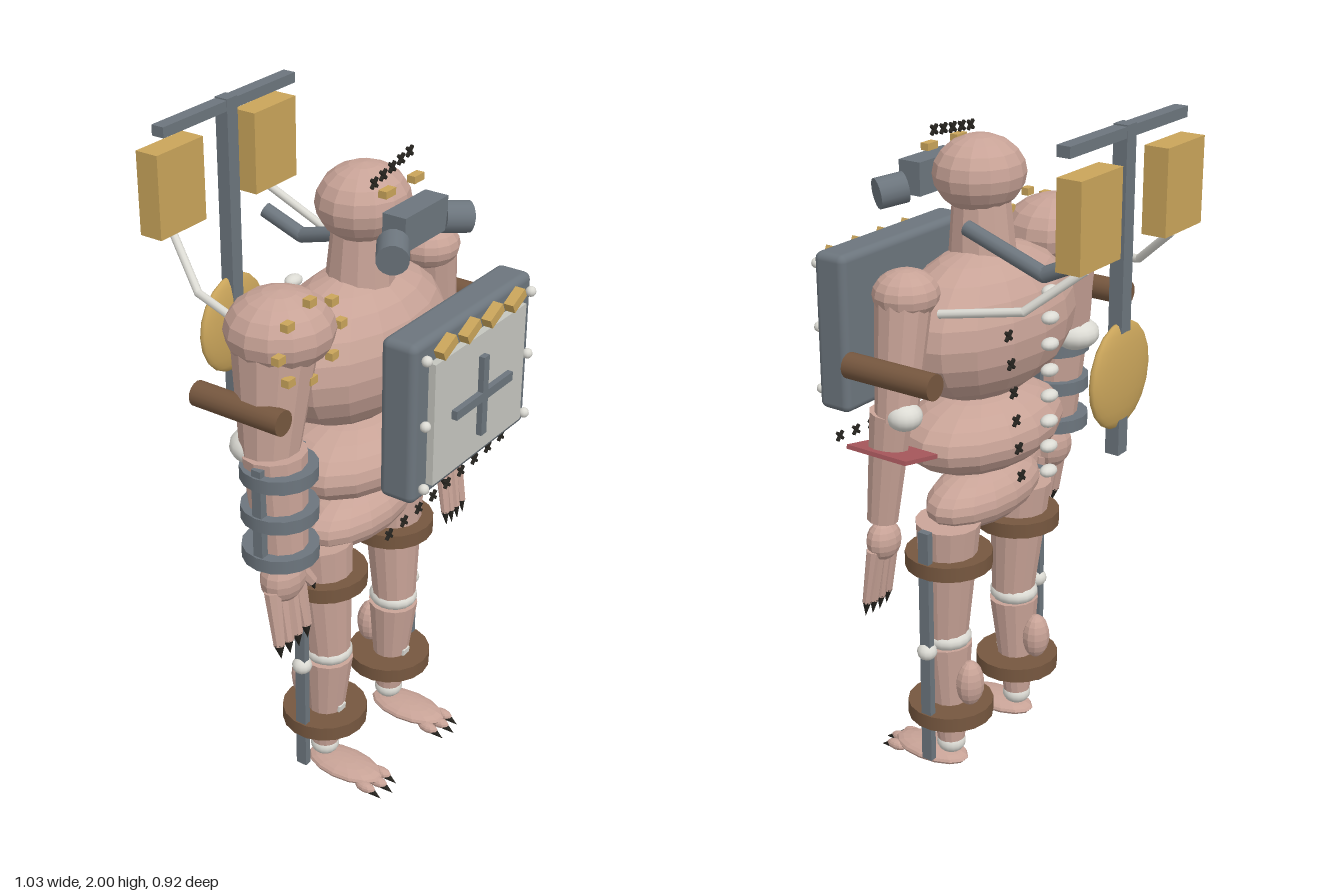
import * as THREE from 'three';
import { RoundedBoxGeometry } from 'three/addons/geometries/RoundedBoxGeometry.js';

const mat = (name, color, flatShading = false) => {
  const m = new THREE.MeshStandardMaterial({ color, flatShading });
  m.name = name;
  return m;
};

export function createModel() {
  const root = new THREE.Group();
  root.name = 'patchedGiant';
  const flesh = mat('flesh', 0xc8a397, true);
  const steel = mat('steel', 0x6c757d);
  const brass = mat('brass', 0xc9a45a);
  const leather = mat('leather', 0x76573f);
  const bone = mat('bone', 0xdcdbd4);
  const plate = mat('plate', 0xc4c5be);
  const dark = mat('dark', 0x26241f);
  const red = mat('red', 0xa8585c);

  // Helpers
  const add = (name, geo, m, p = [0, 0, 0], r = [0, 0, 0]) => {
    const mesh = new THREE.Mesh(geo, m);
    mesh.name = name;
    mesh.position.set(...p);
    mesh.rotation.set(...r);
    root.add(mesh);
    return mesh;
  };
  const ball = (name, m, p, r, w = 16, h = 12) =>
    add(name, new THREE.SphereGeometry(1, w, h).scale(...r), m, p);
  const box = (name, m, p, s, r) => add(name, new THREE.BoxGeometry(...s), m, p, r);
  const limb = (name, m, a, b, ra, rb, sides = 12) => {
    const A = new THREE.Vector3(...a), B = new THREE.Vector3(...b);
    const d = B.clone().sub(A);
    const mesh = add(name, new THREE.CylinderGeometry(rb, ra, d.length(), sides), m);
    mesh.position.copy(A).add(B).multiplyScalar(0.5);
    mesh.quaternion.setFromUnitVectors(new THREE.Vector3(0, 1, 0), d.normalize());
    return mesh;
  };
  const pipe = (name, m, pts, r) => {
    for (let i = 1; i < pts.length; i++) {
      limb(name, m, pts[i - 1], pts[i], r, r, 10);
      if (i < pts.length - 1) ball(name + 'Joint', m, pts[i], [r, r, r], 10, 8);
    }
  };
  const stitch = (p) => {
    for (const s of [-1, 1]) box('stitch', dark, p, [0.034, 0.008, 0.008], [0, 0, s * Math.PI / 4]);
  };

  // Torso, neck and head
  ball('chest', flesh, [0, 1.39, 0.04], [0.34, 0.22, 0.205], 16, 12);
  ball('belly', flesh, [0, 1.07, 0.05], [0.295, 0.12, 0.195], 16, 12);
  ball('pelvis', flesh, [0, 0.86, 0.05], [0.235, 0.09, 0.12], 16, 12);
  limb('neck', flesh, [0, 1.53, 0.05], [0, 1.75, 0.055], 0.1, 0.08);
  ball('head', flesh, [0, 1.805, 0.06], [0.138, 0.107, 0.127], 14, 10);

  // Goggles and brow studs
  box('goggleBox', steel, [0, 1.785, 0.225], [0.2, 0.095, 0.072]);
  for (const s of [-1, 1]) {
    limb('goggleLens', steel, [s * 0.112, 1.762, 0.232], [s * 0.18, 1.75, 0.276], 0.044, 0.044, 16);
    box('browStud', brass, [s * 0.066, 1.875, 0.18], [0.045, 0.02, 0.025]);
  }
  for (let i = -2; i <= 2; i++) stitch([i * 0.048, 1.917 + i * 0.006, 0.15 - i * 0.005]);

  // Chest panel
  add('panelFrame', new RoundedBoxGeometry(0.58, 0.465, 0.108, 3, 0.022), steel, [0, 1.357, 0.368]);
  box('panelPlate', plate, [0, 1.345, 0.43], [0.45, 0.355, 0.026]);
  box('crossBar', steel, [0, 1.343, 0.45], [0.282, 0.026, 0.02]);
  box('crossPost', steel, [0, 1.343, 0.45], [0.026, 0.235, 0.02]);
  for (let i = 0; i < 4; i++)
    box('panelTag', brass, [-0.171 + i * 0.114, 1.553, 0.438], [0.066, 0.028, 0.03], [0, 0, 0.45]);
  for (const s of [-1, 1])
    for (const y of [1.545, 1.357, 1.17]) ball('panelRivet', bone, [s * 0.257, y, 0.437], [0.015, 0.015, 0.015], 10, 8);

  // Waist and back stitches, spine knobs
  for (let i = -4; i <= 4; i++) stitch([i * 0.0715, 1.033 + i * 0.005, 0.35]);
  for (let i = 0; i < 6; i++) stitch([0.282, 1.475 - i * 0.077, -0.236 - i * 0.0085]);
  for (let i = 0; i < 8; i++) ball('spineKnob', bone, [0, 1.51 - i * 0.0763, -0.177], [0.031, 0.018, 0.023], 12, 8);

  // Back mast with boxes, dish and pipes
  box('mast', steel, [0, 1.545, -0.398], [0.045, 0.91, 0.042]);
  box('mastBar', steel, [0, 1.981, -0.398], [0.57, 0.03, 0.04]);
  ball('dish', brass, [0, 1.318, -0.402], [0.145, 0.152, 0.03], 24, 10);
  for (const s of [-1, 1]) {
    box('mastBox', brass, [s * 0.207, 1.8, -0.427], [0.19, 0.24, 0.073]);
    pipe('bonePipe', bone, [[s * 0.215, 1.668, -0.425], [s * 0.285, 1.55, -0.283], [s * 0.334, 1.512, -0.05]], 0.012);
  }
  pipe('hosePipe', steel, [[0.095, 1.675, 0.035], [0.112, 1.595, -0.23], [0.096, 1.65, -0.348]], 0.022);

  // Right arm, the heavy one
  ball('rightShoulder', flesh, [-0.351, 1.565, 0.045], [0.15, 0.108, 0.148], 14, 10);
  limb('rightUpperArm', flesh, [-0.37, 1.56, 0.045], [-0.412, 1.22, 0.05], 0.12, 0.08);
  ball('rightElbow', bone, [-0.41, 1.235, 0.01], [0.078, 0.05, 0.078]);
  limb('rightForearm', flesh, [-0.418, 1.24, 0.07], [-0.418, 0.92, 0.09], 0.09, 0.072);
  for (const y of [1.19, 1.067, 0.943])
    add('forearmBand', new THREE.CylinderGeometry(0.107, 0.107, 0.04, 16), steel, [-0.418, y, 0.085]);
  for (const s of [-1, 1]) box('forearmBar', steel, [-0.418 + s * 0.088, 1.08, 0.085], [0.024, 0.3, 0.03]);
  for (let i = 0; i < 8; i++) {
    const a = i * Math.PI / 4;
    box('shoulderStud', brass, [-0.351 + Math.cos(a) * 0.133, 1.555 + Math.sin(a) * 0.11, 0.142], [0.03, 0.022, 0.024]);
  }

  // Left arm with cutting plate
  ball('leftShoulder', flesh, [0.351, 1.555, 0.045], [0.093, 0.068, 0.09], 14, 10);
  limb('leftUpperArm', flesh, [0.36, 1.56, 0.045], [0.412, 1.22, 0.04], 0.078, 0.058);
  ball('leftElbow', bone, [0.42, 1.24, 0.005], [0.05, 0.04, 0.05]);
  limb('leftForearm', flesh, [0.413, 1.24, 0.055], [0.42, 0.915, 0.09], 0.06, 0.044);
  box('armPlate', red, [0.426, 1.13, 0.045], [0.142, 0.012, 0.2], [0, 0, 0.2]);

  // Hands, fingers and claws
  for (const s of [-1, 1]) {
    const k = s < 0 ? 1.32 : 1, x = s * 0.417, z = 0.09;
    ball(s < 0 ? 'rightHand' : 'leftHand', flesh, [x, 0.85, z], [0.056 * k, 0.058 * k, 0.045 * k], 12, 10);
    for (let i = 0; i < 4; i++) {
      const t = (i - 1.5) * 0.031 * k, y = 0.655 - Math.abs(i - 1.5) * -0.006;
      limb('finger', flesh, [x + t * 0.9, 0.83, z + 0.005], [x + t, y, z + 0.03], 0.019 * k, 0.013 * k, 8);
      limb('claw', dark, [x + t, y + 0.004, z + 0.029], [x + t, y - 0.045, z + 0.036], 0.013 * k, 0, 8);
    }
    limb('thumb', flesh, [x - s * 0.04 * k, 0.855, z + 0.01], [x - s * 0.068 * k, 0.795, z + 0.03], 0.02 * k, 0.014 * k, 8);
    limb('thumbClaw', dark, [x - s * 0.067 * k, 0.798, z + 0.03], [x - s * 0.07 * k, 0.768, z + 0.04], 0.012 * k, 0, 8);
    // Roll strapped to the outside of the upper arm
    limb('armRoll', leather, [s * 0.472, 1.37, -0.14], [s * 0.472, 1.37, 0.145], 0.036, 0.036, 16);
  }

  // Legs
  for (const s of [-1, 1]) {
    const x = s * 0.173;
    limb('thigh', flesh, [s * 0.182, 0.83, 0.045], [x, 0.46, 0.065], 0.095, 0.067, 14);
    ball('knee', bone, [x, 0.447, 0.062], [0.072, 0.04, 0.076]);
    limb('shin', flesh, [x, 0.425, 0.062], [x, 0.1, 0.05], 0.076, 0.042, 14);
    ball('calf', flesh, [x, 0.31, -0.022], [0.045, 0.072, 0.042], 12, 10);
    box('shinSplint', bone, [x, 0.195, 0.1], [0.032, 0.125, 0.02], [0.12, 0, 0]);
    ball('ankle', bone, [x, 0.085, 0.05], [0.044, 0.036, 0.044]);
    for (const y of [0.71, 0.213])
      add('legStrap', new THREE.CylinderGeometry(0.128, 0.128, 0.045, 18), leather, [x, y, 0.05]);
    box('braceRod', steel, [s * 0.284, 0.455, 0.05], [0.022, 0.75, 0.035]);
    ball('braceJoint', bone, [s * 0.284, 0.445, 0.05], [0.03, 0.027, 0.03], 12, 8);
    // Foot with toes and claws
    ball('foot', flesh, [x, 0.033, 0.125], [0.068, 0.025, 0.13], 14, 10);
    for (let i = -1; i <= 1; i++) {
      const tx = x + i * 0.042, tz = 0.245 - Math.abs(i) * 0.015;
      ball('toe', flesh, [tx, 0.022, tz], [0.018, 0.016, 0.035], 10, 8);
      limb('toeClaw', dark, [tx, 0.018, tz + 0.02], [tx, 0.004, tz + 0.057], 0.012, 0, 8);
    }
  }

  root.position.x = 0.004;
  const model = new THREE.Group();
  model.name = 'model';
  model.add(root);
  return model;
}
